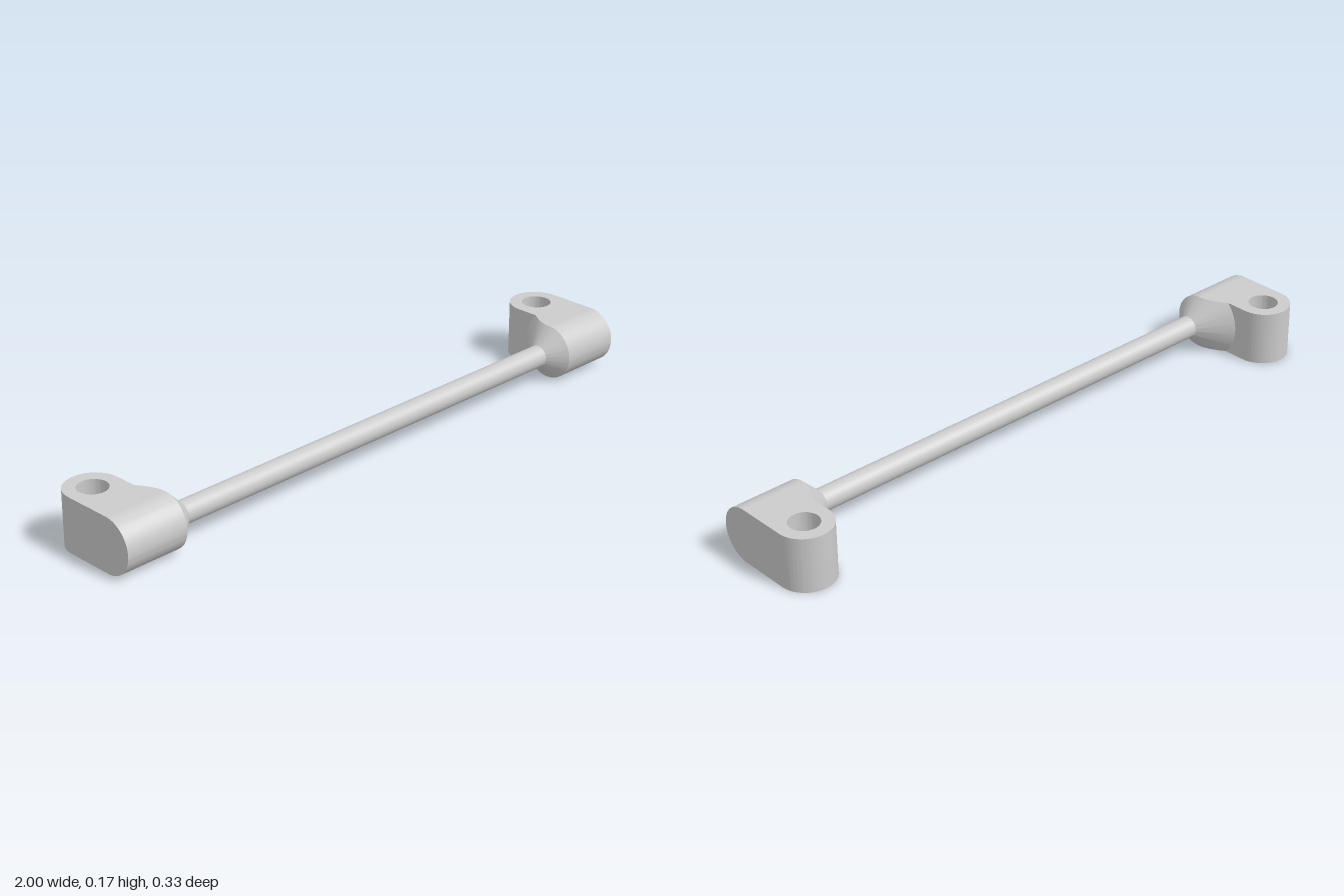
import * as THREE from 'three';
import { toCreasedNormals } from 'three/addons/utils/BufferGeometryUtils.js';

const H = 0.0865;      // half height of the end blocks, also the front rounding radius
const AXIS_Z = 0.0785; // depth of the bar axis
const BAR_R = 0.035;
const BAR_END = 0.742;
const LUG_X = 0.915, LUG_Z = -0.08, LUG_R = 0.085, HOLE_R = 0.046;
const LUG_IN = LUG_X - LUG_R;
const MAX_R = BAR_R + LUG_IN - BAR_END; // cone radius where it meets the lug wall

const material = new THREE.MeshStandardMaterial({ color: 0xcccccc });

function add(parent, name, geometry) {
  const mesh = new THREE.Mesh(geometry, material);
  mesh.name = name;
  parent.add(mesh);
  return mesh;
}

// Flat lug with a rounded back and a vertical bolt hole
function lugGeometry() {
  const shape = new THREE.Shape();
  shape.moveTo(-LUG_R, -AXIS_Z);
  shape.lineTo(LUG_R, -AXIS_Z);
  shape.lineTo(LUG_R, -LUG_Z);
  shape.absarc(0, -LUG_Z, LUG_R, 0, Math.PI, false);
  shape.closePath();
  const hole = new THREE.Path();
  hole.absarc(0, -LUG_Z, HOLE_R, 0, Math.PI * 2, true);
  shape.holes.push(hole);
  const g = new THREE.ExtrudeGeometry(shape, { depth: 2 * H, bevelEnabled: false, curveSegments: 24 });
  g.rotateX(-Math.PI / 2);
  return toCreasedNormals(g, 0.5);
}

// Angles around the bar axis, with exact breaks where the section changes
function sectionAngles() {
  const half = Math.PI / 2;
  const corner = Math.PI - Math.asin(H / MAX_R);
  const breaks = [[-half, half, 32], [half, corner, 12], [corner, 2 * Math.PI - corner, 16],
    [2 * Math.PI - corner, 1.5 * Math.PI, 12]];
  const angles = [];
  for (const [a, b, n] of breaks) {
    for (let i = 0; i < n; i++) angles.push(a + (b - a) * i / n);
  }
  return [...angles, 1.5 * Math.PI];
}

// Rounded front barrel with a conical face running down to the bar
function barrelGeometry(side) {
  const angles = sectionAngles();
  const points = angles.map((t, i) => {
    const front = i <= 32 || i === angles.length - 1;
    const R = front ? H : Math.min(H / Math.max(Math.abs(Math.sin(t)), 1e-6), MAX_R);
    const end = front ? 1 : LUG_IN;
    return [[BAR_END, BAR_R], [BAR_END + R - BAR_R, R], [end, R], [end, 0]].map(([x, r]) =>
      new THREE.Vector3(side * x, H + r * Math.sin(t), AXIS_Z + r * Math.cos(t)));
  });
  const pos = [];
  const tri = (a, b, c) => {
    const area = b.clone().sub(a).cross(c.clone().sub(a)).length();
    if (area < 1e-10) return;
    for (const p of side > 0 ? [a, b, c] : [a, c, b]) pos.push(p.x, p.y, p.z);
  };
  for (let i = 0; i < points.length - 1; i++) {
    const p = points[i], q = points[i + 1];
    for (let k = 0; k < 3; k++) {
      tri(p[k], p[k + 1], q[k]);
      tri(q[k], p[k + 1], q[k + 1]);
    }
  }
  const g = new THREE.BufferGeometry();
  g.setAttribute('position', new THREE.Float32BufferAttribute(pos, 3));
  return toCreasedNormals(g, 0.5);
}

export function createModel() {
  const model = new THREE.Group();
  model.name = 'pullHandle';

  // Round grip bar
  const bar = new THREE.CylinderGeometry(BAR_R, BAR_R, 2 * BAR_END + 0.01, 48);
  bar.rotateZ(Math.PI / 2);
  add(model, 'gripBar', bar).position.set(0, H, AXIS_Z);

  // Mounting ends
  for (const [side, label] of [[1, 'left'], [-1, 'right']]) {
    const end = new THREE.Group();
    end.name = label + 'Mount';
    add(end, label + 'Lug', lugGeometry()).position.x = side * LUG_X;
    add(end, label + 'Barrel', barrelGeometry(side));
    model.add(end);
  }
  return model;
}
